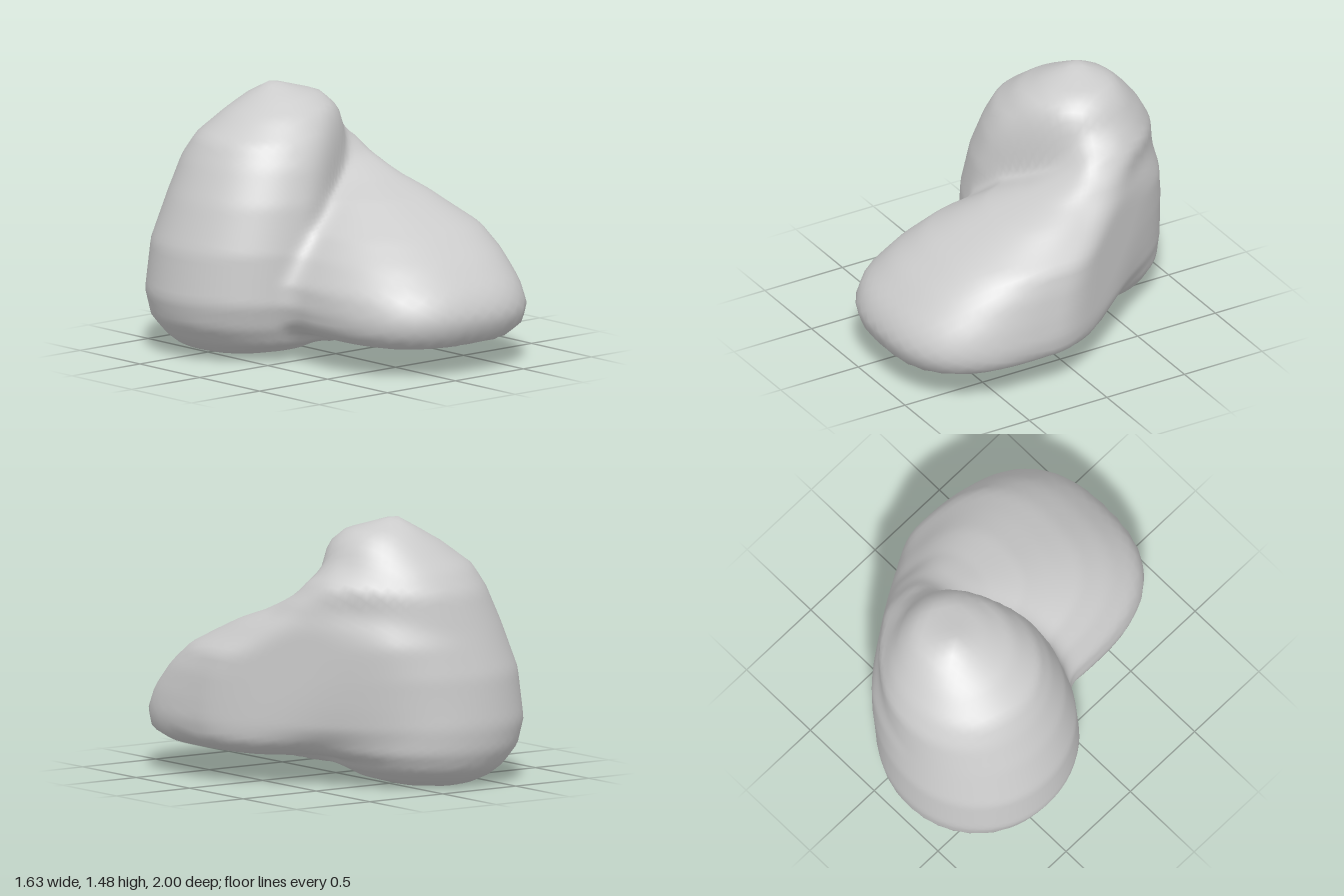
import * as THREE from 'three';
import { mergeVertices } from 'three/addons/utils/BufferGeometryUtils.js';

const { smoothstep, clamp } = THREE.MathUtils;

// Horizontal sections of each lobe: [y, centreX, centreZ, radiusX, radiusZ]
const tallLobe = [
  [0, -0.25, -0.53, 0.22, 0.24], [0.04, -0.25, -0.48, 0.36, 0.37], [0.1, -0.24, -0.46, 0.45, 0.47],
  [0.2, -0.25, -0.46, 0.53, 0.52], [0.34, -0.26, -0.45, 0.56, 0.55], [0.62, -0.24, -0.44, 0.55, 0.54],
  [0.88, -0.19, -0.42, 0.51, 0.5], [1.08, -0.135, -0.42, 0.475, 0.46], [1.2, -0.11, -0.41, 0.43, 0.4],
  [1.33, -0.045, -0.4, 0.32, 0.3], [1.41, -0.01, -0.42, 0.21, 0.2], [1.48, -0.07, -0.45, 0.02, 0.02],
];
const lowLobe = [
  [0.135, 0.18, 0.35, 0.35, 0.4], [0.17, 0.19, 0.35, 0.5, 0.57],
  [0.23, 0.2, 0.34, 0.59, 0.63], [0.33, 0.2, 0.31, 0.61, 0.69], [0.45, 0.2, 0.26, 0.6, 0.69],
  [0.6, 0.23, 0.16, 0.55, 0.64], [0.72, 0.26, 0.06, 0.49, 0.57], [0.8, 0.27, -0.03, 0.4, 0.5],
  [0.88, 0.28, -0.11, 0.32, 0.4], [0.95, 0.31, -0.2, 0.22, 0.27], [1.02, 0.34, -0.28, 0.14, 0.18],
  [1.09, 0.36, -0.36, 0.05, 0.1],
];

// Approximate distance to a lobe, negative inside; n squares off its outline
function lobeDistance(sections, p, n) {
  const last = sections.length - 1;
  const y = clamp(p.y, sections[0][0], sections[last][0]);
  let i = 0;
  while (i < last - 1 && y > sections[i + 1][0]) i++;
  const a = sections[i], b = sections[i + 1];
  const t = (y - a[0]) / (b[0] - a[0]);
  const [, cx, cz, rx, rz] = a.map((v, k) => v + (b[k] - v) * t);
  const d = (Math.abs((p.x - cx) / rx) ** n + Math.abs((p.z - cz) / rz) ** n) ** (1 / n);
  const side = (d - 1) * Math.min(rx, rz);
  return p.y === y ? side : Math.max(side, 0) + Math.abs(p.y - y);
}

function smoothUnion(a, b, k) {
  const h = Math.max(k - Math.abs(a - b), 0) / k;
  return Math.min(a, b) - h * h * k * 0.25;
}
const smoothCut = (a, b, k) => -smoothUnion(-a, -b, k);

// Tall lobe chamfered above the crease, joined to the low lobe, with one flat side at the back
function rockDistance(p) {
  const crease = 0.53 * p.x + 0.85 * p.z + 0.02;
  const flank = 0.85 * p.x - 0.53 * p.z - 0.645;
  const tall = smoothCut(lobeDistance(tallLobe, p, 2.05), crease, 0.08);
  const low = lobeDistance(lowLobe, p, 2.6);
  const behind = smoothstep(p.x - p.z, 0.25, 0.85) * (1 - 0.6 * smoothstep(p.y, 0.7, 1.1));
  const under = smoothstep(p.x, -0.3, 0.1) * (1 - smoothstep(p.y, 0.1, 0.4));
  const blend = 0.12 + Math.max(0.38 * behind, 0.2 * under);
  return smoothCut(smoothUnion(tall, low, blend), flank, 0.06);
}

// Pull each point of a sphere onto the rock, marching from outside to the core
function rockGeometry() {
  let geo = new THREE.IcosahedronGeometry(1, 22);
  geo.deleteAttribute('uv');
  geo.deleteAttribute('normal');
  geo = mergeVertices(geo, 1e-4);
  const core = new THREE.Vector3(0, 0.5, -0.18);
  const pos = geo.attributes.position;
  const dir = new THREE.Vector3(), p = new THREE.Vector3();
  const at = (r) => rockDistance(p.copy(core).addScaledVector(dir, r));
  for (let i = 0; i < pos.count; i++) {
    dir.fromBufferAttribute(pos, i).normalize();
    let lo = 1.6;
    while (lo > 0.05 && at(lo) > 0) lo -= 0.01;
    let hi = lo + 0.01;
    for (let s = 0; s < 8; s++) {
      const mid = (lo + hi) / 2;
      if (at(mid) > 0) hi = mid; else lo = mid;
    }
    at(lo);
    pos.setXYZ(i, p.x, Math.max(p.y, 0), p.z);
  }
  geo.computeVertexNormals();
  return geo;
}

export function createModel() {
  const group = new THREE.Group();
  group.name = 'rock';
  const stone = new THREE.MeshStandardMaterial({ color: 0xcccccc });
  stone.name = 'stone grey';
  const boulder = new THREE.Mesh(rockGeometry(), stone);
  boulder.name = 'twoLobedBoulder';
  group.add(boulder);
  return group;
}
